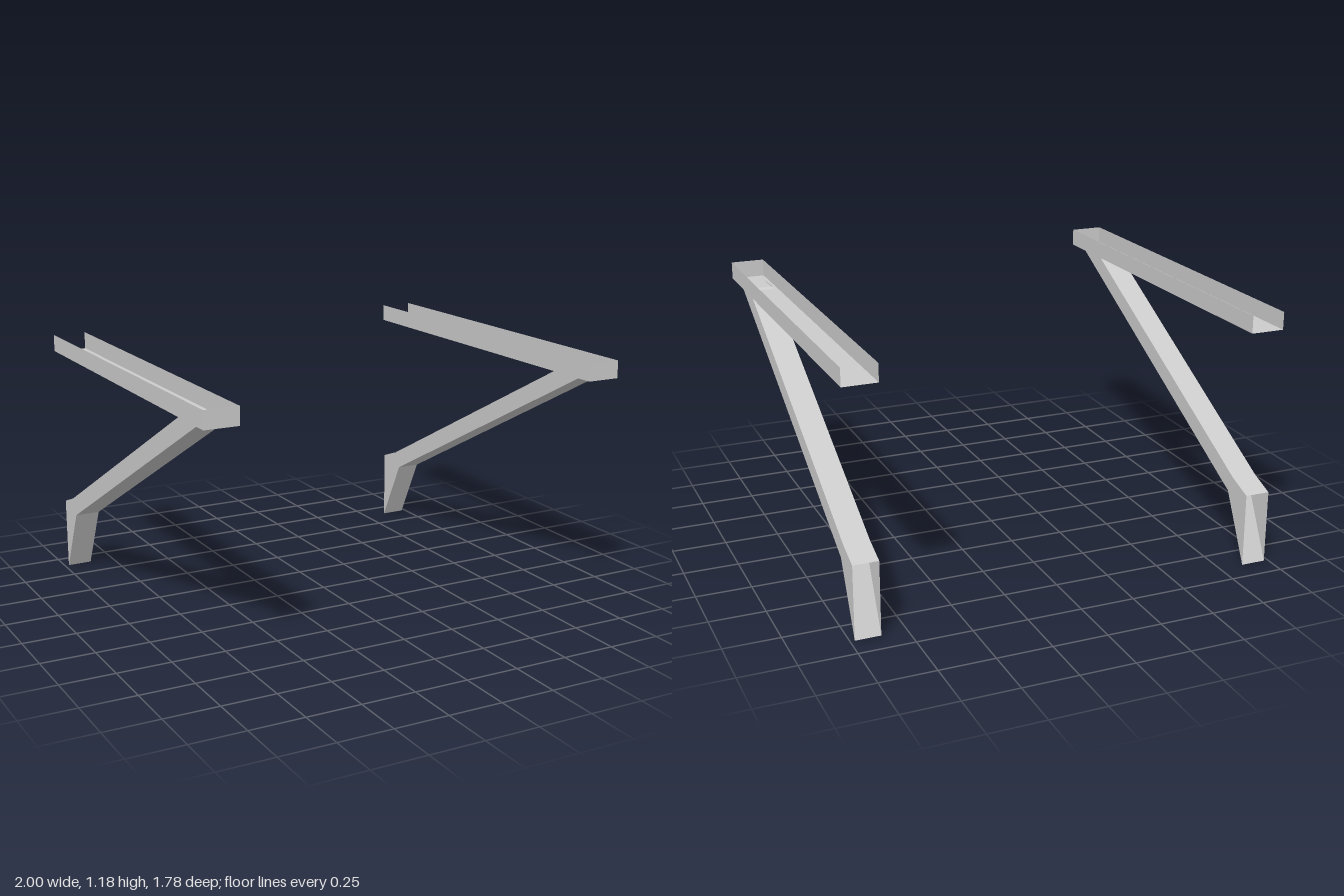
import * as THREE from 'three';

// Thin sheet metal made of four-cornered panels
function sheetGeometry(panels) {
  const points = [];
  for (const [a, b, c, d] of panels) points.push(...a, ...b, ...c, ...a, ...c, ...d);
  const geometry = new THREE.BufferGeometry();
  geometry.setAttribute('position', new THREE.Float32BufferAttribute(points, 3));
  geometry.computeVertexNormals();
  return geometry;
}

// Four corners of a section: top left, top right, bottom right, bottom left
function section(width, [topZ, topY], [bottomZ, bottomY]) {
  const h = width / 2;
  return [[-h, topY, topZ], [h, topY, topZ], [h, bottomY, bottomZ], [-h, bottomY, bottomZ]];
}

// Panels joining successive sections, front to back; sides lists which of the four to make
function join(sections, sides) {
  const panels = [];
  for (let s = 0; s < sections.length - 1; s++) {
    const a = sections[s], b = sections[s + 1];
    for (const i of sides) {
      const j = (i + 1) % 4;
      panels.push([a[i], a[j], b[j], b[i]]);
    }
  }
  return panels;
}

export function createModel() {
  const model = new THREE.Group();
  model.name = 'railBrackets';
  const steel = new THREE.MeshStandardMaterial({ color: 0xcccccc, side: THREE.DoubleSide });
  steel.name = 'greySteel';

  // Channel open at the top and back, closed at the front
  const front = section(0.155, [0.89, 1.18], [0.89, 1.1]);
  const back = section(0.155, [-0.89, 1.18], [-0.89, 1.1]);
  const railGeometry = sheetGeometry([
    ...join([front, back], [1, 2, 3]),
    [front[3], front[2], front[1], front[0]],
  ]);

  // Hollow strut that flares into a foot open at the back
  const strutGeometry = sheetGeometry(join([
    section(0.115, [0.638, 1.109], [0.8, 1.1]),
    section(0.115, [-0.775, 0.383], [-0.738, 0.307]),
    section(0.115, [-0.893, 0.34], [-0.893, 0]),
  ], [0, 1, 2, 3]));

  for (const side of [-1, 1]) {
    const bracket = new THREE.Group();
    bracket.name = side > 0 ? 'leftBracket' : 'rightBracket';
    bracket.position.x = side * 0.9225;
    const rail = new THREE.Mesh(railGeometry, steel);
    rail.name = 'channelRail';
    const strut = new THREE.Mesh(strutGeometry, steel);
    strut.name = 'diagonalStrut';
    bracket.add(rail, strut);
    model.add(bracket);
  }
  return model;
}
